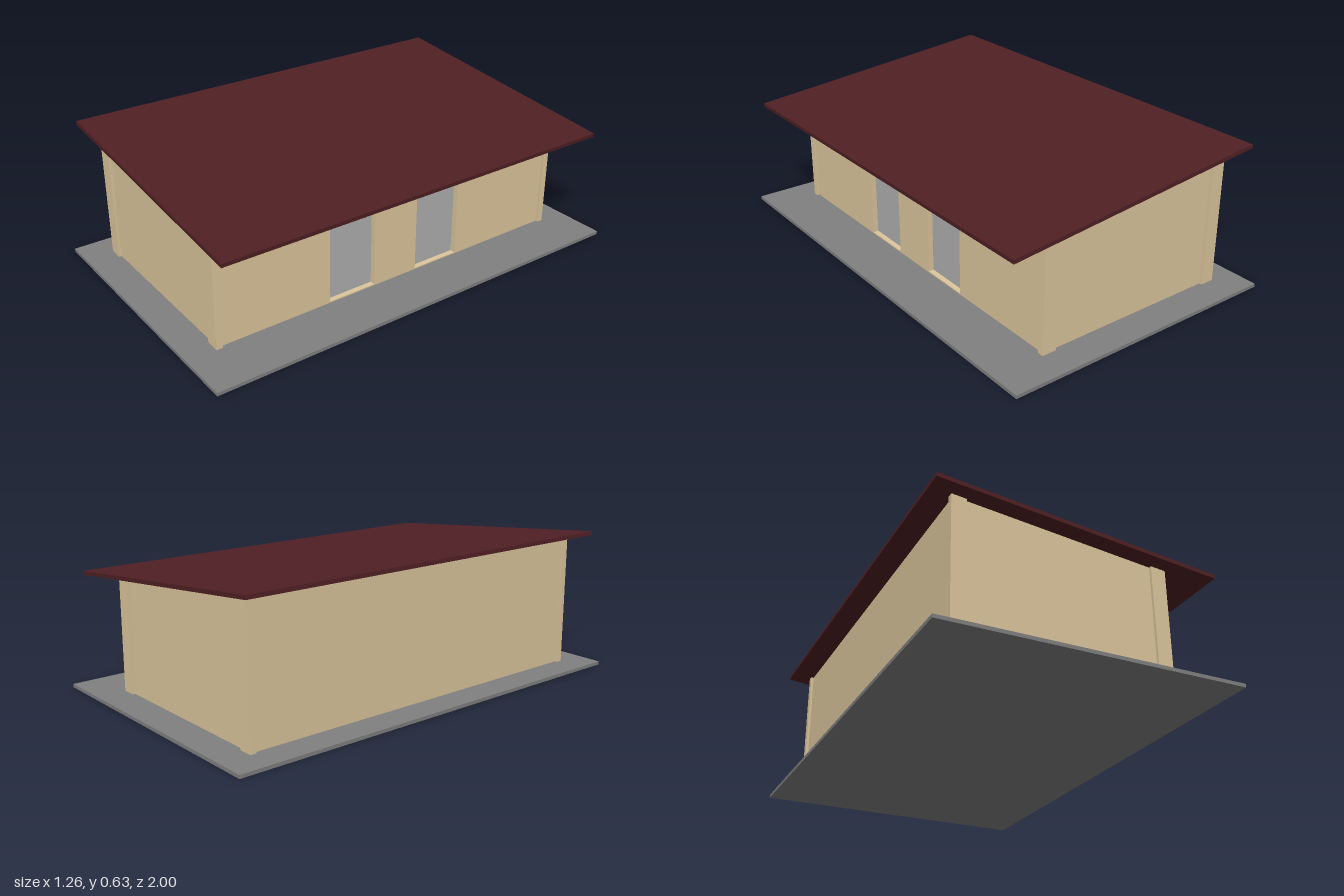
import * as THREE from 'three';

const SLOPE = 0.0978;
const FLOOR = 0.015;
const roofUnder = (x) => 0.552 - SLOPE * x;

export function createModel() {
  const model = new THREE.Group();
  const tan = new THREE.MeshStandardMaterial({ color: 0xddc79d });
  const slabGrey = new THREE.MeshStandardMaterial({ color: 0x808080 });
  const doorGrey = new THREE.MeshStandardMaterial({ color: 0xb0b0b0 });
  const maroon = new THREE.MeshStandardMaterial({ color: 0x502024 });

  const add = (name, geometry, material) => {
    const mesh = new THREE.Mesh(geometry, material);
    mesh.name = name;
    model.add(mesh);
    return mesh;
  };

  // Upright block whose top follows the slope of the roof
  const slopedBlock = (name, x0, x1, z0, z1) => {
    const shape = new THREE.Shape();
    shape.moveTo(x0, FLOOR);
    shape.lineTo(x1, FLOOR);
    shape.lineTo(x1, roofUnder(x1));
    shape.lineTo(x0, roofUnder(x0));
    const geometry = new THREE.ExtrudeGeometry(shape, { depth: z1 - z0, bevelEnabled: false });
    return add(name, geometry.translate(0, 0, z0), tan);
  };

  // Ground slab
  add('slab', new THREE.BoxGeometry(1.26, FLOOR, 2).translate(0, FLOOR / 2, 0), slabGrey);

  // Main body behind the doorway wall
  const wallX = 0.393, recess = 0.028, wallZ = 0.86;
  slopedBlock('body', -0.5, wallX - recess, -wallZ, wallZ);

  // Doorway wall: outline in (z, y) with two openings, turned to face +x
  const wall = new THREE.Shape();
  const top = roofUnder(wallX);
  wall.moveTo(-wallZ, FLOOR);
  wall.lineTo(wallZ, FLOOR);
  wall.lineTo(wallZ, top);
  wall.lineTo(-wallZ, top);
  const doorBottom = 0.02, doorTop = 0.413, doorWidth = 0.226;
  for (const side of [-1, 1]) {
    const c = side * 0.223, h = doorWidth / 2;
    const hole = new THREE.Path();
    hole.moveTo(c - h, doorBottom);
    hole.lineTo(c - h, doorTop);
    hole.lineTo(c + h, doorTop);
    hole.lineTo(c + h, doorBottom);
    wall.holes.push(hole);

    // Door panel set back in its opening
    const panel = new THREE.BoxGeometry(0.008, doorTop - doorBottom, doorWidth);
    add('door', panel, doorGrey).position.set(wallX - recess, (doorTop + doorBottom) / 2, c);
  }
  const wallGeometry = new THREE.ExtrudeGeometry(wall, { depth: recess, bevelEnabled: false });
  wallGeometry.rotateY(Math.PI / 2).translate(wallX - recess, 0, 0);
  add('doorwayWall', wallGeometry, tan);

  // Corner pillars, standing slightly proud of the walls
  for (const [x0, x1] of [[-0.512, -0.449], [0.341, 0.405]]) {
    slopedBlock('cornerPillar', x0, x1, 0.845, 0.872);
    slopedBlock('cornerPillar', x0, x1, -0.872, -0.845);
  }

  // Single-pitch roof with overhang
  const roof = add('roof', new THREE.BoxGeometry(1.2, 0.017, 1.87), maroon);
  roof.position.y = 0.5595;
  roof.rotation.z = -Math.atan(SLOPE);

  return model;
}
